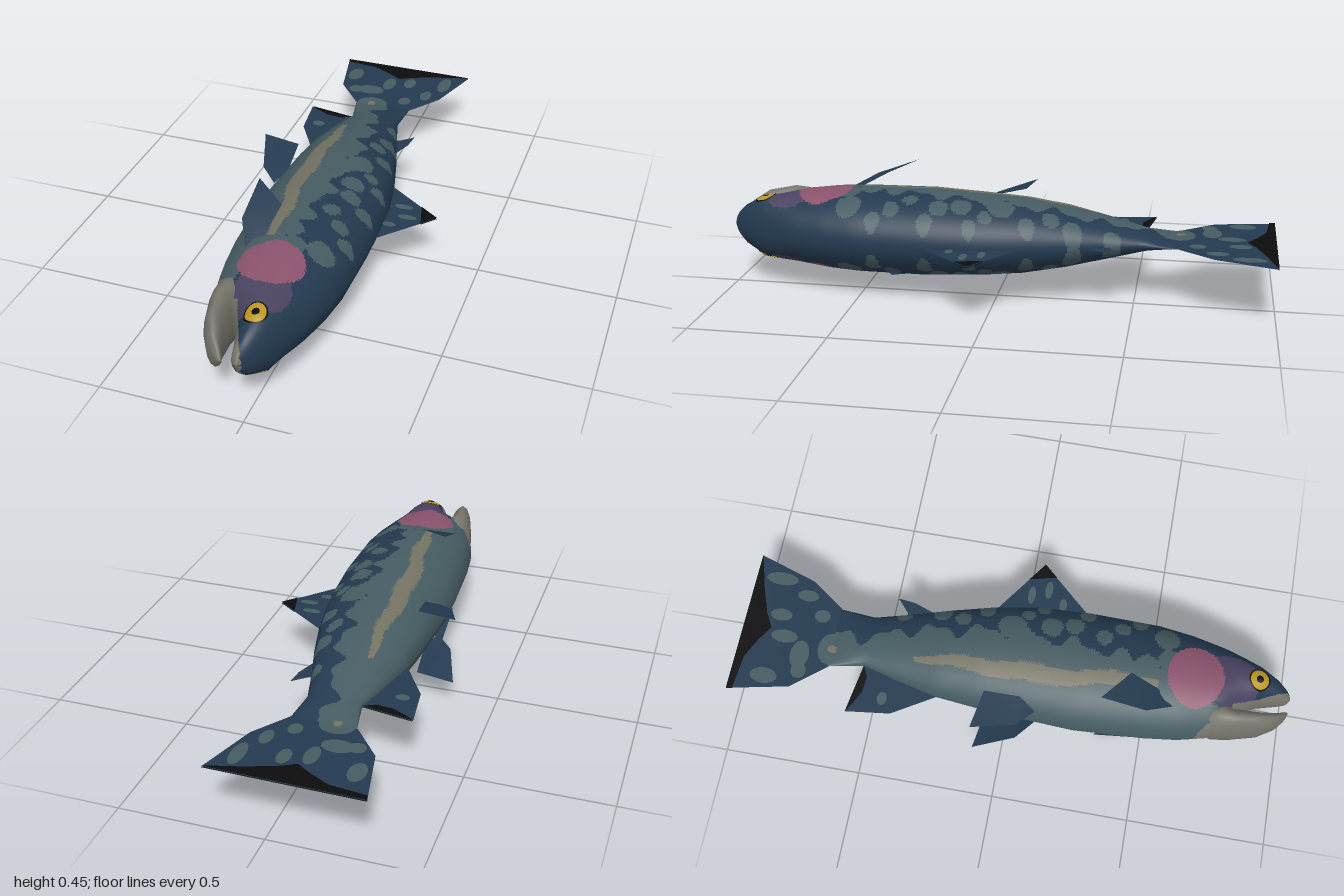
import * as THREE from 'three';

const MID = 0.228; // height of the fish's plane of symmetry (it lies on its side)

const mat = (name, color) => {
  const m = new THREE.MeshStandardMaterial({ color, side: THREE.DoubleSide });
  m.name = name;
  return m;
};

// Cross-sections: z, belly x, back x, half thickness
const BODY = [
  [-0.66, -0.185, 0.04, 0.002], [-0.53, -0.16, 0.03, 0.036], [-0.4, -0.195, 0.065, 0.07],
  [-0.25, -0.23, 0.11, 0.107], [-0.1, -0.245, 0.148, 0.133], [0.05, -0.255, 0.175, 0.145],
  [0.25, -0.265, 0.186, 0.156], [0.5, -0.25, 0.18, 0.156], [0.62, -0.235, 0.163, 0.15],
  [0.74, -0.205, 0.135, 0.136], [0.8, -0.115, 0.11, 0.128], [0.88, -0.062, 0.078, 0.113],
  [0.95, -0.045, 0.04, 0.075], [0.988, -0.036, 0.008, 0.038], [1, -0.018, -0.012, 0.004],
];
const JAW = [
  [0.68, -0.19, -0.07, 0.085], [0.74, -0.203, -0.07, 0.115], [0.8, -0.192, -0.098, 0.118],
  [0.9, -0.165, -0.092, 0.1], [0.96, -0.13, -0.078, 0.062], [0.985, -0.1, -0.066, 0.03],
  [0.996, -0.075, -0.065, 0.003],
];

function lerpTable(table, z) {
  let i = 0;
  while (i < table.length - 2 && z > table[i + 1][0]) i++;
  const p = table[i], q = table[i + 1];
  const t = THREE.MathUtils.clamp((z - p[0]) / (q[0] - p[0]), 0, 1);
  return p.map((v, k) => v + (q[k] - v) * t);
}

// Centre, half height and half thickness of an elliptical section
function section(table, z) {
  const [, lo, hi, b] = lerpTable(table, z);
  return { c: (lo + hi) / 2, a: (hi - lo) / 2, b };
}

// Twelve-sided loft with smooth normals; each small triangle is coloured by a rule
function loft(table, nz, sides, materials, pick) {
  const pos = [], nor = [], lists = materials.map(() => []);
  const z0 = table[0][0], z1 = table[table.length - 1][0], n = 12 * sides;
  for (let i = 0; i <= nz; i++) {
    const z = z0 + (z1 - z0) * i / nz, s = section(table, z);
    const p = Math.max(z0, z - 0.03), q = Math.min(z1, z + 0.03);
    const sp = section(table, p), sq = section(table, q);
    const d = (k) => (sq[k] - sp[k]) / (q - p);
    for (let j = 0; j <= n; j++) {
      const t = j / n * Math.PI * 2, ct = Math.cos(t), st = Math.sin(t);
      const k = Math.floor(j / sides), f = j / sides - k;
      const t0 = k * Math.PI / 6, t1 = t0 + Math.PI / 6;
      const ux = Math.cos(t0) * (1 - f) + Math.cos(t1) * f;
      const uy = Math.sin(t0) * (1 - f) + Math.sin(t1) * f;
      pos.push(s.c + s.a * ux, MID + s.b * uy, z);
      const v = new THREE.Vector3(ct / s.a, st / s.b,
        -(d('c') * ct / s.a + d('a') * ct * ct / s.a + d('b') * st * st / s.b)).normalize();
      nor.push(v.x, v.y, v.z);
    }
  }
  const add = (...tri) => {
    const mean = (k) => tri.reduce((sum, i) => sum + pos[i * 3 + k], 0) / 3;
    lists[pick(mean(0), mean(2))].push(...tri);
  };
  for (let i = 0; i < nz; i++) for (let j = 0; j < n; j++) {
    const a = i * (n + 1) + j, b = a + n + 1;
    add(a, a + 1, b);
    add(a + 1, b + 1, b);
  }
  const g = new THREE.BufferGeometry();
  g.setAttribute('position', new THREE.Float32BufferAttribute(pos, 3));
  g.setAttribute('normal', new THREE.Float32BufferAttribute(nor, 3));
  g.setIndex(lists.flat());
  let start = 0;
  lists.forEach((l, i) => { if (l.length) g.addGroup(start, l.length, i); start += l.length; });
  return new THREE.Mesh(g, materials);
}

// Skin pattern
const EDGE = [[-0.66, -0.06], [-0.5, -0.06], [-0.4, -0.02], [-0.2, 0], [0, 0.02],
  [0.3, 0], [0.48, -0.02], [0.6, -0.05], [0.72, -0.12], [1, -0.2]];
const STRIPE = [[-0.35, -0.12, 0.008], [-0.2, -0.122, 0.022], [0.08, -0.125, 0.033],
  [0.25, -0.115, 0.026], [0.4, -0.09, 0.024], [0.52, -0.088, 0.012]];
const BLOBS = [[0.05, -0.42, 0.03], [0.07, -0.28, 0.035], [0.05, -0.2, 0.03], [0.1, -0.12, 0.03],
  [0.04, -0.02, 0.05], [0.1, 0.03, 0.025], [0.14, 0.08, 0.025], [0.06, 0.12, 0.04],
  [0.08, 0.2, 0.035], [0.14, 0.24, 0.03], [0.05, 0.31, 0.03], [0.1, 0.37, 0.03],
  [0.14, 0.43, 0.028], [0.09, 0.53, 0.046], [0, 0.55, 0.045], [-0.03, 0.47, 0.04]];
const inside = (x, z, cx, cz, rx, rz) => ((x - cx) / rx) ** 2 + ((z - cz) / rz) ** 2 < 1;
const BLUE = 0, GREEN = 1, CREAM = 2, GREY = 3, PINK = 4, PURPLE = 5;

function skin(x, z) {
  if (z > 0.79 && x < -0.45 * (1 - z)) return GREY;
  if (x < -0.09 && z > 0.7 + (x + 0.195)) return GREY;
  if (inside(x, z, -0.035, 0.645, 0.112, 0.1)) return PINK;
  if (inside(x, z, -0.02, 0.77, 0.095, 0.105)) return PURPLE;
  const w = lerpTable(STRIPE, z);
  if (z > -0.35 && z < 0.52 && Math.abs(x - w[1] - 0.006 * Math.sin(z * 25)) < w[2]) return CREAM;
  if (BLOBS.some(([bx, bz, r]) => inside(x, z, bx, bz, r, r))) return GREEN;
  const wave = z < 0.6 ? 0.022 * Math.sin(z * 37) + 0.012 * Math.sin(z * 71) : 0;
  return x < lerpTable(EDGE, z)[1] + wave ? GREEN : BLUE;
}

// Flat outline in the plane of symmetry
function plate(name, points, material, lift = 0) {
  const g = new THREE.ShapeGeometry(new THREE.Shape(points.map(([x, z]) => new THREE.Vector2(x, z))));
  g.rotateX(Math.PI / 2);
  g.translate(0, MID + lift, 0);
  const m = new THREE.Mesh(g, material);
  m.name = name;
  return m;
}
const oval = (x, z, rx, rz) => Array.from({ length: 14 }, (_, i) =>
  [x + rx * Math.cos(i / 7 * Math.PI), z + rz * Math.sin(i / 7 * Math.PI)]);

export function createModel() {
  const group = new THREE.Group();
  const blue = mat('back blue', 0x243a50), green = mat('flank green', 0x465c62);
  const cream = mat('stripe cream', 0x747262), grey = mat('jaw grey', 0x76746a);
  const pink = mat('gill pink', 0x8a536b), purple = mat('cheek purple', 0x4a4361);
  const yellow = mat('eye yellow', 0xba9620), black = mat('black', 0x0c0c0e);

  const body = loft(BODY, 190, 8, [blue, green, cream, grey, pink, purple], skin);
  body.name = 'body';
  const jaw = loft(JAW, 40, 2, [grey], () => 0);
  jaw.name = 'lowerJaw';
  group.add(body, jaw);

  // Fins in the plane of symmetry
  group.add(
    plate('tailFin', [[-0.33, -1], [-0.285, -0.78], [-0.185, -0.655], [0.04, -0.655], [0.13, -0.78], [0.2, -0.995]], blue),
    plate('dorsalFin', [[0.12, -0.11], [0.14, -0.1], [0.35, 0.05], [0.185, 0.23], [0.15, 0.23]], blue),
    plate('adiposeFin', [[0.04, -0.42], [0.068, -0.415], [0.12, -0.46], [0.112, -0.395], [0.085, -0.32], [0.05, -0.32]], blue),
    plate('analFin', [[-0.34, -0.56], [-0.16, -0.53], [-0.15, -0.3], [-0.23, -0.25], [-0.32, -0.4]], blue));

  // Fin markings on both faces
  for (const s of [-1, 1]) {
    group.add(
      plate('tailEdge', [[-0.33, -1], [0.2, -0.995], [0.17, -0.985], [0.08, -0.96], [-0.02, -0.925], [-0.075, -0.895],
        [-0.13, -0.93], [-0.2, -0.965], [-0.325, -0.978]], black, s * 0.003),
      plate('dorsalTip', [[0.28, 0], [0.35, 0.05], [0.305, 0.1]], black, s * 0.003),
      plate('analEdge', [[-0.34, -0.56], [-0.16, -0.53], [-0.2, -0.51], [-0.26, -0.515], [-0.31, -0.54]], black, s * 0.003));
    const spots = [[-0.26, -0.88, 0.03, 0.05], [-0.1, -0.84, 0.025, 0.05], [-0.16, -0.77, 0.055, 0.035], [-0.02, -0.87, 0.024, 0.04],
      [0.12, -0.9, 0.025, 0.06], [0.07, -0.79, 0.022, 0.04], [-0.22, -0.76, 0.03, 0.028], [-0.12, -0.665, 0.06, 0.045],
      [0.0, -0.72, 0.025, 0.03], [0.22, 0.02, 0.035, 0.014], [0.25, 0.08, 0.035, 0.014], [0.2, 0.14, 0.025, 0.014],
      [-0.27, -0.44, 0.025, 0.018]];
    spots.forEach((p) => group.add(plate('finSpot', oval(...p), green, s * 0.0025)));
    group.add(plate('tailFleck', oval(-0.12, -0.655, 0.014, 0.02), cream, s * 0.006));
  }

  // Paired fins and eyes, mirrored through the plane of symmetry
  const paired = {
    pelvicFin: [[-0.355, 0.355, -0.1], [-0.215, 0.353, -0.075], [-0.205, 0.325, 0.05], [-0.24, 0.29, 0.11], [-0.305, 0.31, 0.05]],
    pectoralFin: [[-0.2, 0.454, 0.33], [-0.085, 0.43, 0.42], [-0.11, 0.36, 0.54], [-0.155, 0.35, 0.58], [-0.2, 0.395, 0.49]],
  };
  for (const s of [1, -1]) {
    for (const [name, pts] of Object.entries(paired)) {
      const g = new THREE.BufferGeometry();
      g.setAttribute('position', new THREE.Float32BufferAttribute(
        pts.flatMap(([x, y, z]) => [x, MID + s * (y - MID), z]), 3));
      g.setIndex(s > 0 ? [0, 4, 1, 1, 4, 2, 2, 4, 3] : [0, 1, 4, 1, 2, 4, 2, 3, 4]);
      g.computeVertexNormals();
      const fin = new THREE.Mesh(g, blue);
      fin.name = name;
      group.add(fin);
    }
    const eye = (name, r0, r1, lift, material) => {
      const g = new THREE.RingGeometry(r0, r1, 24, 4), p = g.attributes.position;
      for (let i = 0; i < p.count; i++) {
        const x = p.getX(i) + 0.002, z = 0.87 - p.getY(i), e = section(BODY, z);
        const y = e.b * Math.sqrt(Math.max(0, 1 - ((x - e.c) / e.a) ** 2));
        p.setXYZ(i, x, MID + s * (y + lift), z);
      }
      if (s < 0) g.setIndex([...g.index.array].reverse());
      g.computeVertexNormals();
      const m = new THREE.Mesh(g, material);
      m.name = name;
      group.add(m);
    };
    eye('eyeRim', 0.034, 0.039, 0.002, black);
    eye('iris', 0.013, 0.034, 0.002, yellow);
    eye('pupil', 0, 0.013, 0.002, black);
  }
  return group;
}
